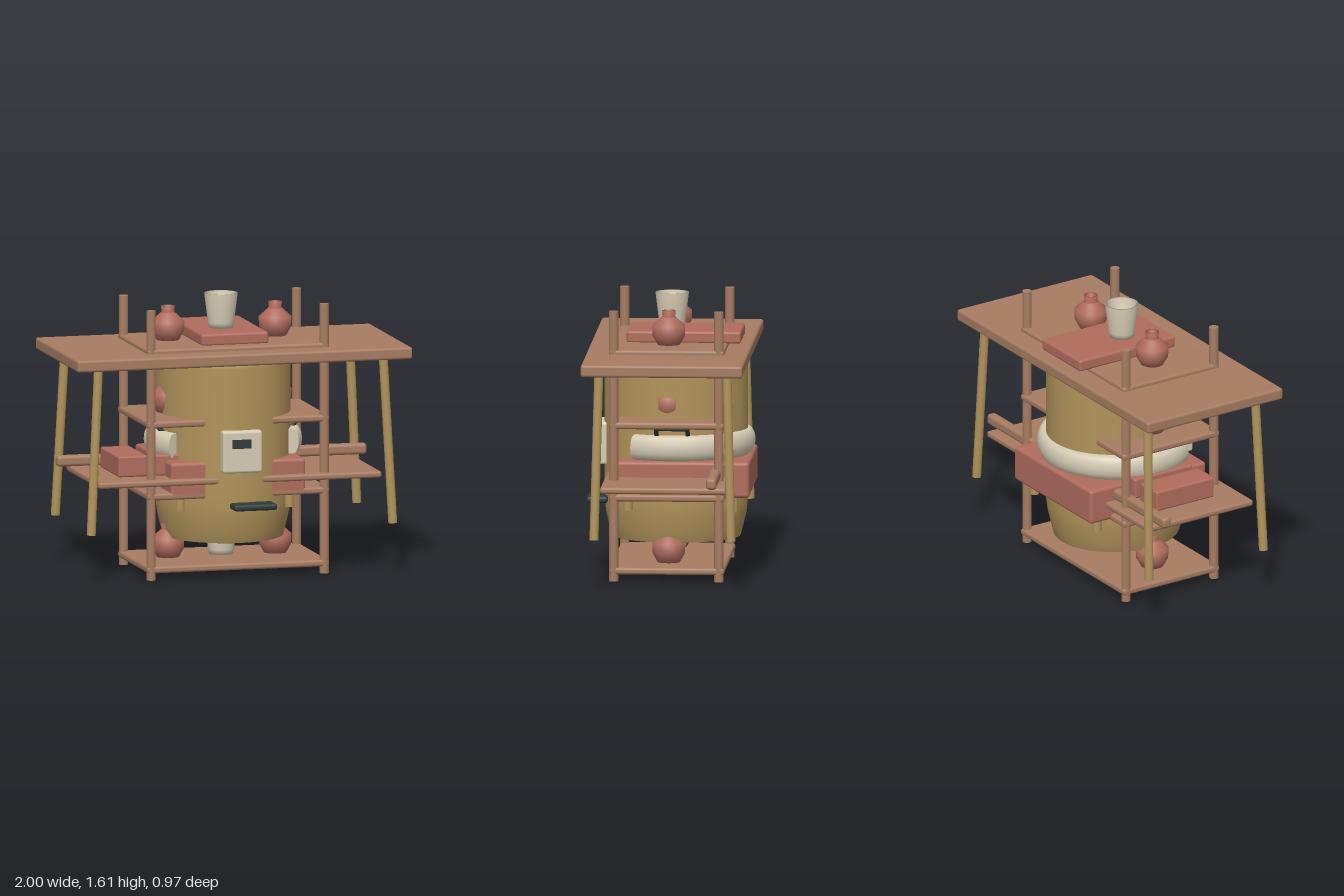
import * as THREE from 'three';
import { RoundedBoxGeometry } from 'three/addons/geometries/RoundedBoxGeometry.js';

const mat = (name, color, side = THREE.FrontSide) => {
  const m = new THREE.MeshStandardMaterial({ color, side });
  m.name = name;
  return m;
};

export function createModel() {
  const model = new THREE.Group();
  model.name = 'potteryWorkshop';
  const wood = mat('wood', 0xa67c61);
  const clay = mat('terracotta', 0xb06c5d, THREE.DoubleSide);
  const ochre = mat('ochre', 0xb0935a);
  const cream = mat('cream', 0xd6ccb4, THREE.DoubleSide);
  const dark = mat('charcoal', 0x2f3a38);

  const add = (name, geo, material, x = 0, y = 0, z = 0) => {
    const m = new THREE.Mesh(geo, material);
    m.name = name;
    m.position.set(x, y, z);
    model.add(m);
    return m;
  };
  // Rounded block given by its extents on each axis
  const block = (name, material, [x0, x1], [y0, y1], [z0, z1], r = 0.015) =>
    add(name, new RoundedBoxGeometry(x1 - x0, y1 - y0, z1 - z0, 3, r), material,
      (x0 + x1) / 2, (y0 + y1) / 2, (z0 + z1) / 2);
  // Round rod between two points
  const rod = (name, material, a, b, r) => {
    const p = new THREE.Vector3(...a), q = new THREE.Vector3(...b);
    const d = q.clone().sub(p);
    const m = add(name, new THREE.CylinderGeometry(r, r, d.length(), 16), material);
    m.position.copy(p).add(q).multiplyScalar(0.5);
    m.quaternion.setFromUnitVectors(new THREE.Vector3(0, 1, 0), d.normalize());
  };
  const lathe = (pts, seg = 32, start = 0, len = Math.PI * 2) =>
    new THREE.LatheGeometry(pts.map(p => new THREE.Vector2(...p)), seg, start, len);

  // Large work table with splayed legs, lower board and rear rail
  block('tableTop', wood, [-1, 1], [1.25, 1.32], [-0.467, 0.467]);
  block('tableLowerBoard', wood, [-0.845, 0.845], [0.55, 0.588], [-0.365, 0.365]);
  block('tableRearRail', wood, [-0.925, 0.925], [0.59, 0.655], [-0.312, -0.253], 0.02);
  for (const sx of [-1, 1]) for (const sz of [-1, 1])
    rod('tableLeg', ochre, [sx * 0.9, 0.29, sz * 0.395], [sx * 0.85, 1.26, sz * 0.37], 0.026);

  // Shelf rack: posts and four shelves
  for (const x of [-0.518, 0.515]) for (const z of [-0.302, 0.305])
    rod('rackPost', wood, [x, 0, z], [x, 1.57, z], 0.027);
  const shelfHeights = [0.06, 0.485, 0.905, 1.325];
  for (const y of shelfHeights)
    block('rackShelf', wood, [-0.545, 0.54], [y - 0.02, y + 0.02], [-0.333, 0.33]);

  // Clay jars on the shelves
  const jar = lathe([[0, 0], [0.065, 0], [0.093, 0.05], [0.095, 0.11], [0.045, 0.155],
    [0.037, 0.165], [0.04, 0.197], [0.028, 0.197], [0.026, 0.16], [0, 0.14]], 24);
  for (const y of shelfHeights) for (const x of [-0.335, 0.305])
    add('jar', jar, clay, x, y + 0.025, 0);

  // Open cups
  const cup = lathe([[0, 0], [0.07, 0], [0.076, 0.03], [0.097, 0.2], [0.084, 0.2],
    [0.064, 0.02], [0, 0.02]]);
  add('topCup', cup, cream, -0.018, 1.41, 0);
  add('lowerCup', cup, cream, -0.018, 0.09, 0);

  // Clay slab on the top and clay blocks on the lower board
  block('topSlab', clay, [-0.2, 0.2], [1.34, 1.41], [-0.41, 0.25]);
  block('clayBlock', clay, [-0.685, -0.51], [0.588, 0.71], [-0.2, 0.2], 0.012);
  block('clayBlock', clay, [-0.46, -0.3], [0.588, 0.71], [-0.2, 0.2], 0.012);

  // Kiln drum, slightly longer front to back
  const drum = add('kilnDrum', lathe([[0, 0.2], [0.355, 0.2], [0.362, 0.202], [0.378, 0.265],
    [0.395, 0.34], [0.402, 0.4], [0.404, 0.5], [0.404, 1.22], [0.4, 1.25], [0.38, 1.275], [0, 1.28]], 48), ochre);
  drum.scale.set(0.96, 1, 1.025);
  drum.position.z = -0.025;

  // Low clay stand around the kiln, on short feet
  block('kilnStand', clay, [-0.405, 0.4], [0.47, 0.678], [-0.47, 0.33], 0.02);
  for (const x of [-0.325, 0.325]) for (const z of [-0.375, 0.235])
    rod('standFoot', ochre, [x, 0.385, z], [x, 0.5, z], 0.026);

  // Padded collar wrapping the back and sides, with flat ends
  const collar = [[0.33, 0.685], [0.42, 0.685], [0.44, 0.695], [0.453, 0.725], [0.457, 0.757],
    [0.453, 0.79], [0.44, 0.818], [0.42, 0.83], [0.33, 0.83]];
  const start = Math.PI / 2 - 0.56, sweep = Math.PI + 1.12;
  add('collar', lathe(collar, 48, start, sweep), cream, 0, 0, -0.025);
  const capShape = new THREE.Shape(collar.map(p => new THREE.Vector2(...p)));
  for (const phi of [start, start + sweep])
    add('collarEnd', new THREE.ShapeGeometry(capShape), cream, 0, 0, -0.025).rotation.y = phi - Math.PI / 2;

  // Control panel with a dark display
  block('controlPanel', cream, [-0.12, 0.115], [0.62, 0.865], [0.34, 0.428]);
  add('display', new THREE.BoxGeometry(0.11, 0.052, 0.008), dark, -0.01, 0.79, 0.43);

  // Front pull handle
  block('frontHandle', dark, [-0.067, 0.19], [0.405, 0.443], [0.36, 0.483]);

  // Lifting handles on both sides
  for (const s of [-1, 1]) {
    const path = new THREE.CurvePath();
    const pts = [[0.37, 0.81, 0.065], [0.435, 0.875, 0.065], [0.435, 0.875, -0.115], [0.37, 0.81, -0.115]]
      .map(([x, y, z]) => new THREE.Vector3(s * x, y, z));
    for (let i = 0; i < 3; i++) path.add(new THREE.LineCurve3(pts[i], pts[i + 1]));
    add('sideHandle', new THREE.TubeGeometry(path, 40, 0.013, 10), dark);
  }
  return model;
}
